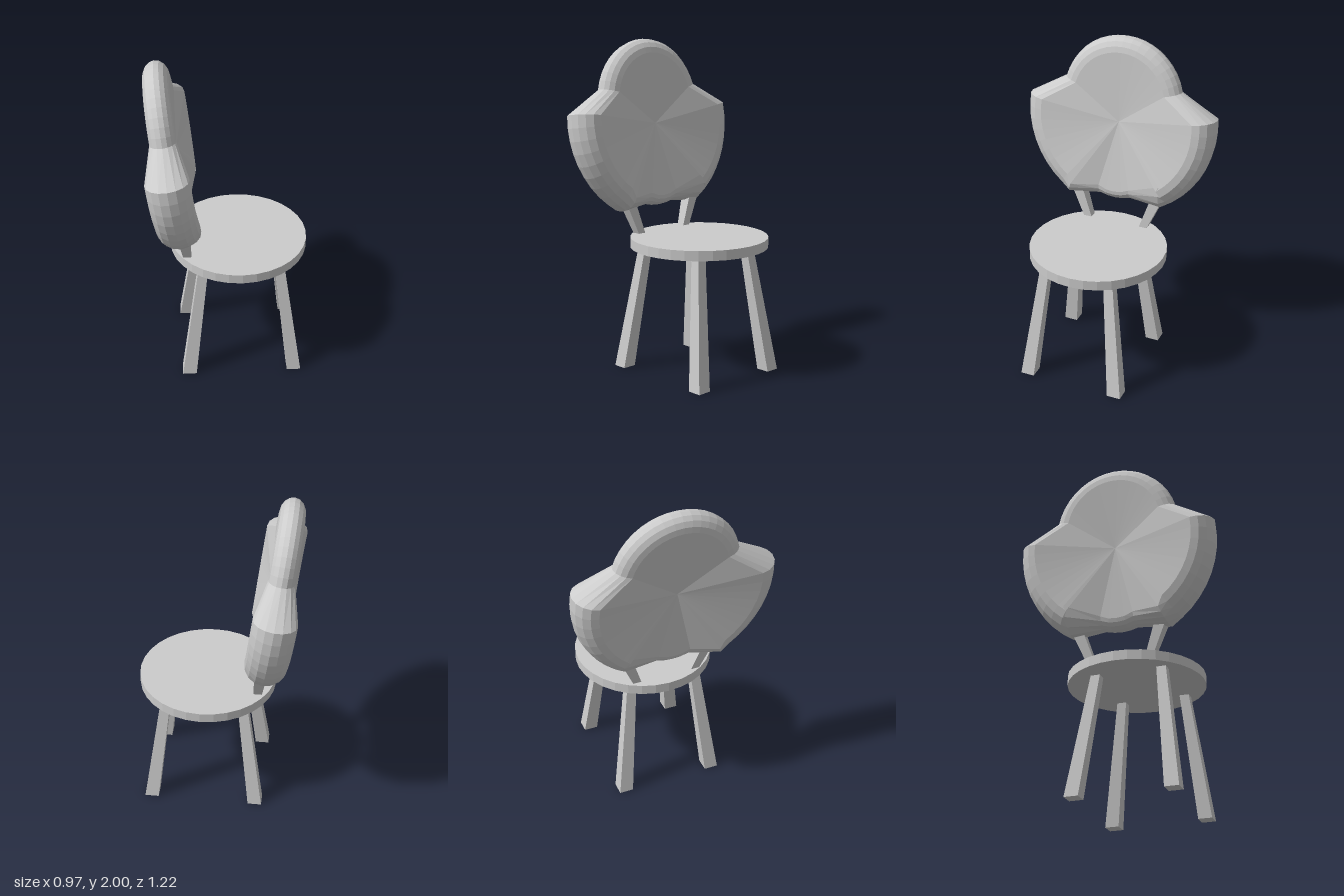
import * as THREE from 'three';

const material = new THREE.MeshStandardMaterial({ color: 0xcccccc, flatShading: true, side: THREE.DoubleSide });

// Square post whose size changes from one end to the other, ends kept level
function post(name, bottom, bottomSize, top, topSize) {
  const geo = new THREE.BoxGeometry(1, 1, 1);
  const p = geo.attributes.position;
  for (let i = 0; i < p.count; i++) {
    const up = p.getY(i) > 0;
    const c = up ? top : bottom;
    const s = up ? topSize : bottomSize;
    p.setXYZ(i, c[0] + p.getX(i) * s, c[1], c[2] + p.getZ(i) * s);
  }
  geo.computeVertexNormals();
  const mesh = new THREE.Mesh(geo, material);
  mesh.name = name;
  return mesh;
}

// One half of the backrest outline, top to bottom: outer z, y, inner z, y, half thickness
function halfOutline(side) {
  const pts = [];
  const arc = (cy, outer, inner, from, to, steps, t) => {
    for (let i = 0; i <= steps; i++) {
      const a = THREE.MathUtils.degToRad(from + ((to - from) * i) / steps);
      const c = Math.cos(a), s = Math.sin(a);
      pts.push([outer * c, cy + outer * s, inner * c, cy + inner * s, t]);
    }
  };
  arc(1.615, 0.385, 0.295, 90, 14, 9, 0.075); // crown
  arc(1.5, 0.61, 0.49, 7, -60.5, 9, 0.125); // side wing
  const end = pts[pts.length - 1];
  if (side < 0) { end[2] = 0.31; end[3] = 1.14; }
  else { end[2] = 0.27; end[3] = 1.05; }
  pts.push([0.1, 0.99, 0.1, 1.06, 0.075]); // small bottom lobe
  pts.push([0.05, 0.979, 0.05, 1.04, 0.075]);
  pts.push([0, 0.975, 0, 1.035, 0.075]);
  return pts.map(([a, b, c, d, t]) => [a * side, b, c * side, d, t]);
}

// Padded backrest: rounded rim round a shallow dished panel, leaning backwards
function backrest() {
  const left = halfOutline(1);
  const right = halfOutline(-1).reverse();
  const loop = [...left, ...right.slice(1, -1)];
  const n = loop.length, steps = 8;
  const pos = [], index = [];
  const put = (z, y, w) => pos.push(-0.41 - 0.126 * (y - 1.95) + 0.992 * w, y + 0.125 * w, z);
  for (const [oz, oy, iz, iy, t] of loop) {
    for (let j = 0; j <= steps; j++) {
      const a = Math.PI / 2 - (Math.PI * j) / steps;
      const c = Math.cos(a);
      put(iz + (oz - iz) * c, iy + (oy - iy) * c, t * Math.sin(a));
    }
  }
  const front = n * (steps + 1), rear = front + 1;
  put(0, 1.48, 0.05);
  put(0, 1.48, -0.05);
  for (let i = 0; i < n; i++) {
    const a = i * (steps + 1), b = ((i + 1) % n) * (steps + 1);
    for (let j = 0; j < steps; j++) {
      index.push(a + j, a + j + 1, b + j + 1, a + j, b + j + 1, b + j);
    }
    index.push(front, a, b, rear, b + steps, a + steps);
  }
  const geo = new THREE.BufferGeometry();
  geo.setAttribute('position', new THREE.Float32BufferAttribute(pos, 3));
  geo.setIndex(index);
  geo.computeVertexNormals();
  const mesh = new THREE.Mesh(geo, material);
  mesh.name = 'backrest';
  return mesh;
}

export function createModel() {
  const chair = new THREE.Group();
  chair.name = 'chair';

  // Round seat
  const seat = new THREE.Mesh(new THREE.CylinderGeometry(0.42, 0.42, 0.06, 32), material);
  seat.name = 'seat';
  seat.position.set(0.065, 0.795, -0.023);
  chair.add(seat);

  // Splayed legs and backrest supports
  for (const side of [1, -1]) {
    const word = side > 0 ? 'left' : 'right';
    const z = (d) => 0.008 + side * d;
    chair.add(post(word + 'FrontLeg', [0.3975, 0, z(0.293)], 0.086, [0.297, 0.77, z(0.203)], 0.058));
    chair.add(post(word + 'RearLeg', [-0.2625, 0, z(0.293)], 0.086, [-0.162, 0.77, z(0.203)], 0.058));
    chair.add(post(word + 'BackSupport', [-0.256, 0.81, -0.01 + side * 0.182], 0.05,
      [-0.278, 1.04, -0.01 + side * 0.272], 0.074));
  }

  chair.add(backrest());
  return chair;
}
